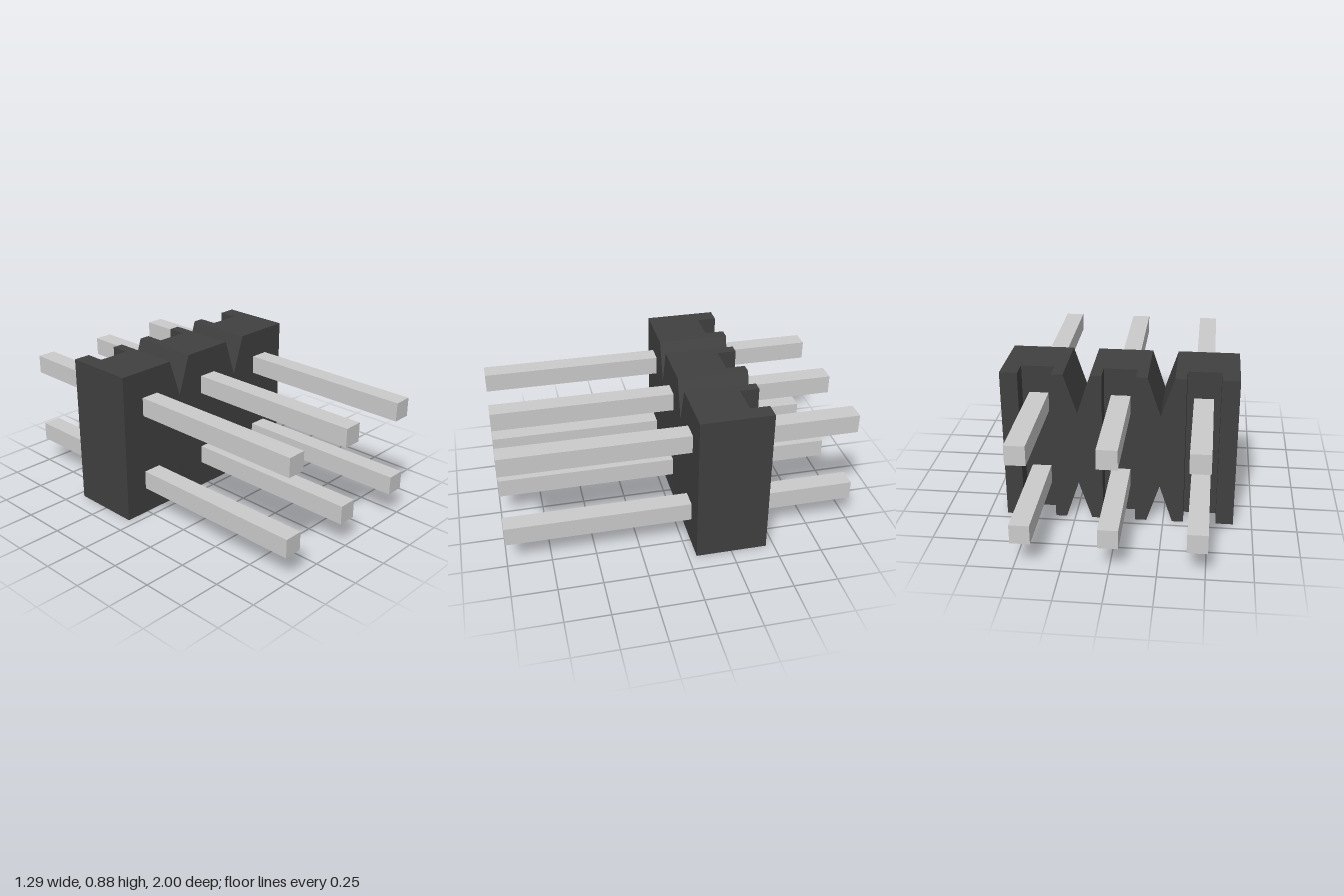
import * as THREE from 'three';

const PITCH = 0.455, HEIGHT = 0.875, HALF_WIDTH = 0.645;
const FRONT = -0.047, STEP = -0.345, BACK = -0.455;
const NOTCH = 0.073, NOTCH_DEPTH = 0.222;
const CHANNEL = 0.092, PIN = 0.108;

// Rectangle from x0 to x1 with V notches cut into the top and bottom at each given x
function notchedShape(x0, x1, notches) {
  const bottom = [], top = [];
  for (const x of notches) {
    bottom.push([x - NOTCH, 0], [x, NOTCH_DEPTH], [x + NOTCH, 0]);
    top.unshift([x + NOTCH, HEIGHT], [x, HEIGHT - NOTCH_DEPTH], [x - NOTCH, HEIGHT]);
  }
  const outline = [[x0, 0], ...bottom, [x1, 0], [x1, HEIGHT], ...top, [x0, HEIGHT]];
  return new THREE.Shape(outline.map(([x, y]) => new THREE.Vector2(x, y)));
}

export function createModel() {
  const model = new THREE.Group();
  model.name = 'pinHeader';
  const plastic = new THREE.MeshStandardMaterial({ color: 0x404040, flatShading: true });
  const metal = new THREE.MeshStandardMaterial({ color: 0xcccccc, flatShading: true });

  const housing = new THREE.Group();
  housing.name = 'housing';
  model.add(housing);

  const addPlate = (name, shape, zBack, zFront) => {
    const geometry = new THREE.ExtrudeGeometry(shape, { depth: zFront - zBack, bevelEnabled: false });
    const mesh = new THREE.Mesh(geometry, plastic);
    mesh.name = name;
    mesh.position.z = zBack;
    housing.add(mesh);
  };

  // Main block, notched between the columns of pins
  const notches = [-PITCH / 2, PITCH / 2];
  addPlate('block', notchedShape(-HALF_WIDTH, HALF_WIDTH, notches), STEP, FRONT);

  // Back ribs, leaving a full-height channel behind each column
  const outer = PITCH + CHANNEL;
  addPlate('endRibRight', notchedShape(-HALF_WIDTH, -outer, []), BACK, STEP);
  addPlate('endRibLeft', notchedShape(outer, HALF_WIDTH, []), BACK, STEP);
  for (const x of notches) {
    const half = PITCH / 2 - CHANNEL;
    addPlate('middleRib', notchedShape(x - half, x + half, [x]), BACK, STEP);
  }

  // Square pins running right through the housing
  const pinGeometry = new THREE.BoxGeometry(PIN, PIN, 2);
  for (const column of [-1, 0, 1]) {
    for (const row of [-0.5, 0.5]) {
      const pin = new THREE.Mesh(pinGeometry, metal);
      pin.name = 'pin';
      pin.position.set(column * PITCH, HEIGHT / 2 + row * PITCH, 0);
      model.add(pin);
    }
  }
  return model;
}
